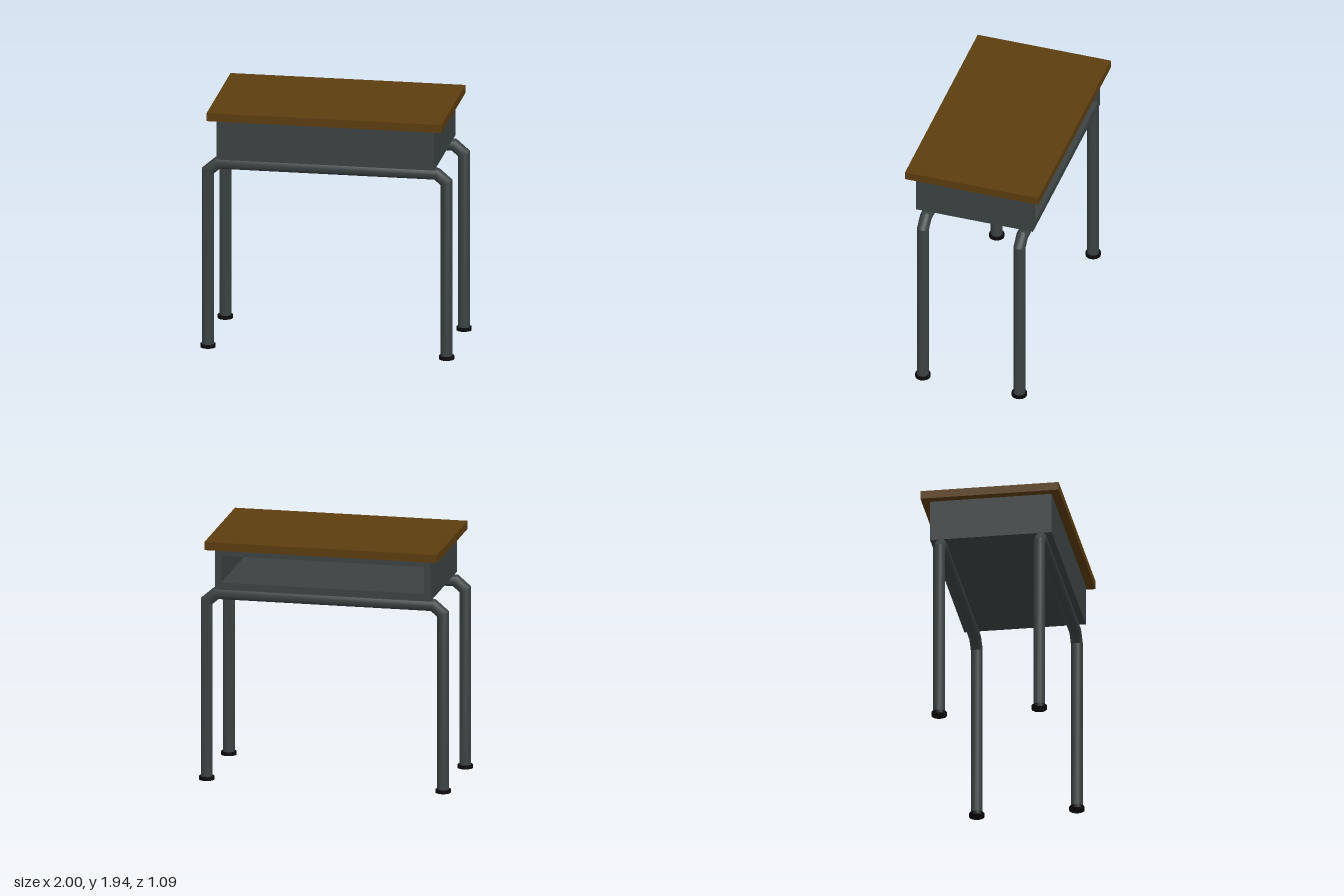
import * as THREE from 'three';
import { toCreasedNormals } from 'three/addons/utils/BufferGeometryUtils.js';

const wood = new THREE.MeshStandardMaterial({ color: 0x5c3d0e });
const metal = new THREE.MeshStandardMaterial({ color: 0x3b4242 });
const rubber = new THREE.MeshStandardMaterial({ color: 0x0a0a0a });

function add(parent, name, geometry, material, x = 0, y = 0, z = 0) {
  const mesh = new THREE.Mesh(geometry, material);
  mesh.name = name;
  mesh.position.set(x, y, z);
  parent.add(mesh);
  return mesh;
}

// Round tube with mitred joints along a polyline in the XY plane
function mitredTube(path, radius, sides) {
  const geo = new THREE.CylinderGeometry(radius, radius, 1, sides, path.length - 1, true);
  geo.deleteAttribute('uv');
  const pos = geo.attributes.position;
  const dir = (a, b) => b.clone().sub(a).normalize();
  for (let row = 0; row < path.length; row++) {
    const p = path[row];
    const before = row > 0 ? dir(path[row - 1], p) : dir(p, path[1]);
    const after = row < path.length - 1 ? dir(p, path[row + 1]) : before;
    const tangent = before.clone().add(after).normalize();
    const stretch = 1 / tangent.dot(before);
    // rows run from the top down, so the ring's x axis lies left of travel
    for (let i = 0; i <= sides; i++) {
      const k = row * (sides + 1) + i;
      const a = pos.getX(k) * stretch;
      pos.setXYZ(k, p.x - tangent.y * a, p.y + tangent.x * a, pos.getZ(k));
    }
  }
  return toCreasedNormals(geo, Math.PI / 6);
}

function rectangle(PathType, x0, y0, x1, y1) {
  const s = new PathType();
  s.moveTo(x0, y0);
  s.lineTo(x1, y0);
  s.lineTo(x1, y1);
  s.lineTo(x0, y1);
  s.closePath();
  return s;
}

export function createModel() {
  const desk = new THREE.Group();
  desk.name = 'schoolDesk';

  // Wooden top
  add(desk, 'desktop', new THREE.BoxGeometry(1.85, 0.065, 1.086), wood, 0, 1.9075, 0);

  // Book box: hollow sleeve open at the back, closed by a front panel
  const outline = rectangle(THREE.Shape, -0.857, 1.547, 0.857, 1.875);
  outline.holes.push(rectangle(THREE.Path, -0.805, 1.604, 0.805, 1.82));
  const box = new THREE.Group();
  box.name = 'bookBox';
  desk.add(box);
  add(box, 'boxSleeve', new THREE.ExtrudeGeometry(outline, { depth: 0.904, bevelEnabled: false }),
    metal, 0, 0, -0.477);
  add(box, 'frontPanel', new THREE.BoxGeometry(1.714, 0.328, 0.05), metal, 0, 1.711, 0.452);

  // Two bent tube frames, each with a pair of feet
  const path = [[-0.94, 0.02], [-0.94, 1.43], [-0.862, 1.497], [0.862, 1.497], [0.94, 1.43], [0.94, 0.02]]
    .map(([x, y]) => new THREE.Vector2(x, y));
  const tube = mitredTube(path, 0.047, 16);
  const foot = new THREE.CylinderGeometry(0.06, 0.06, 0.027, 16);
  for (const side of [1, -1]) {
    const frame = new THREE.Group();
    frame.name = side > 0 ? 'frontFrame' : 'backFrame';
    frame.position.z = 0.393 * side;
    desk.add(frame);
    const legs = add(frame, 'bentTube', tube, metal);
    legs.material.side = THREE.DoubleSide;
    add(frame, 'leftFoot', foot, rubber, 0.94, 0.0135, 0);
    add(frame, 'rightFoot', foot, rubber, -0.94, 0.0135, 0);
  }
  return desk;
}
